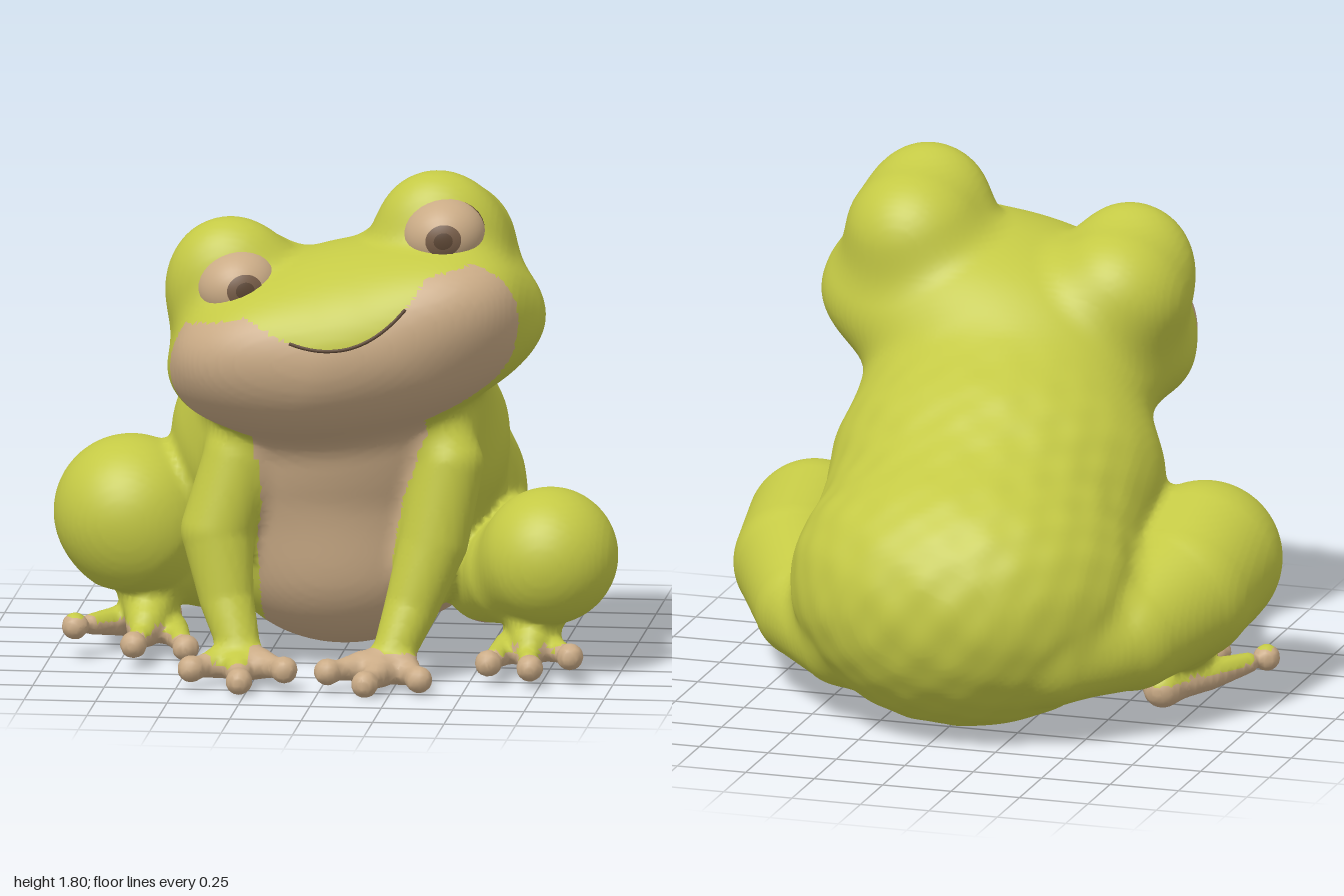
import * as THREE from 'three';

const V = (x, y, z) => new THREE.Vector3(x, y, z);
const flat = (name, color) => {
  const m = new THREE.MeshStandardMaterial({ color });
  m.name = name;
  return m;
};

export function createModel() {
  const green = flat('frog green', 0xc4c945);
  const tan = flat('belly tan', 0xcaab86);
  const iris = flat('iris brown', 0x775d48);
  const dark = flat('dark brown', 0x5c4634);
  const frog = new THREE.Group();
  frog.name = 'frog';

  // Tilted, slightly turned head frame
  const head = new THREE.Group();
  head.name = 'face';
  head.position.set(0.09, 1.24, 0.5);
  head.rotation.set(0, 0.08, 0.23);
  head.updateMatrix();
  const toHead = head.matrix.clone().invert();
  frog.add(head);

  // Soft volumes: centre, radii, blend width
  const bodyBlobs = [
    [[-0.03, 0.5, -0.39], [0.62, 0.49, 0.55], 0.1], // rump
    [[-0.01, 0.77, 0.02], [0.59, 0.48, 0.52], 0.16], // chest
    [[0.01, 0.42, 0.08], [0.44, 0.36, 0.4], 0.12], // belly
    [[0.05, 1.06, 0.27], [0.48, 0.38, 0.34], 0.16], // neck
  ];
  const headBlobs = [
    [[0, -0.01, 0], [0.66, 0.33, 0.445], 0.12], // skull
    [[0.06, -0.08, -0.04], [0.6, 0.27, 0.4], 0.06], // jaw
  ];
  for (const s of [-1, 1]) {
    headBlobs.push([[s * 0.37, 0.2, -0.12], [0.25, 0.24, 0.25], 0.09]); // eye mound
    headBlobs.push([[s * 0.37, 0.26, 0], [0.225, 0.235, 0.16], 0.06]); // lid
    headBlobs.push([[s * 0.33, 0.06, 0.17], [0.25, 0.16, 0.2], 0.12]); // cheek
  }

  // Limbs: blend width, then points [x, y, z, radius]
  const limbs = [
    [0.06, [-0.22, 0.98, 0.36, 0.1], [-0.32, 0.77, 0.44, 0.12], [-0.39, 0.52, 0.47, 0.125],
      [-0.35, 0.29, 0.52, 0.095], [-0.3, 0.14, 0.59, 0.075]], // right arm
    [0.06, [0.34, 1, 0.36, 0.1], [0.42, 0.77, 0.44, 0.12], [0.37, 0.5, 0.47, 0.12],
      [0.3, 0.28, 0.52, 0.095], [0.25, 0.14, 0.59, 0.075]], // left arm
    [0.06, [-0.42, 0.31, -0.58, 0.15], [-0.61, 0.37, -0.35, 0.21], [-0.72, 0.45, -0.08, 0.25],
      [-0.73, 0.51, 0.13, 0.27]], // right thigh
    [0.06, [0.4, 0.27, -0.5, 0.14], [0.6, 0.32, -0.25, 0.185], [0.73, 0.385, 0.05, 0.225],
      [0.76, 0.43, 0.33, 0.237]], // left thigh
    [0.04, [-0.7, 0.45, 0.13, 0.24], [-0.61, 0.35, 0.04, 0.17], [-0.5, 0.28, -0.15, 0.16]], // right calf
    [0.04, [0.74, 0.41, 0.33, 0.21], [0.62, 0.34, 0.2, 0.18], [0.5, 0.27, -0.05, 0.16]], // left calf
    [0.04, [-0.7, 0.28, -0.05, 0.13], [-0.67, 0.19, 0.1, 0.1], [-0.67, 0.13, 0.2, 0.07]], // right ankle
    [0.04, [0.69, 0.26, 0.12, 0.13], [0.7, 0.19, 0.28, 0.1], [0.7, 0.13, 0.38, 0.07]], // left ankle
  ];
  // Hands and feet fan out from a root to round toe pads
  const tips = [];
  const addToes = (root, ends) => {
    for (const t of ends) {
      const at = (f, r) => [...t.map((v, i) => root[i] + (v - root[i]) * f), r];
      limbs.push([0.035, [...root, 0.055], at(0.45, 0.055), at(0.82, 0.036)], [0.015, [...t, 0.047], [...t, 0.047]]);
      tips.push(V(...t));
    }
  };
  addToes([-0.3, 0.09, 0.58], [[-0.45, 0.075, 0.72], [-0.27, 0.055, 0.82], [-0.12, 0.085, 0.75]]);
  addToes([0.24, 0.09, 0.58], [[0.03, 0.08, 0.74], [0.17, 0.055, 0.82], [0.35, 0.06, 0.74]]);
  addToes([-0.65, 0.095, -0.1], [[-0.91, 0.125, 0.27], [-0.69, 0.09, 0.4], [-0.51, 0.08, 0.38]]);
  addToes([0.64, 0.09, 0.07], [[0.57, 0.085, 0.55], [0.72, 0.08, 0.59], [0.85, 0.105, 0.5]]);

  const ellipsoid = (p, [c, r]) => {
    const x = (p.x - c[0]) / r[0], y = (p.y - c[1]) / r[1], z = (p.z - c[2]) / r[2];
    const k = Math.sqrt(x * x + y * y + z * z);
    const g = Math.sqrt((x / r[0]) ** 2 + (y / r[1]) ** 2 + (z / r[2]) ** 2);
    return (k * (k - 1)) / (g + 1e-9);
  };
  const limbDistance = (p, limb) => {
    let d = 1e3;
    for (let i = 1; i < limb.length - 1; i++) {
      const a = limb[i], b = limb[i + 1];
      const ux = b[0] - a[0], uy = b[1] - a[1], uz = b[2] - a[2];
      const x = p.x - a[0], y = p.y - a[1], z = p.z - a[2];
      const dot = (x * ux + y * uy + z * uz) / (ux * ux + uy * uy + uz * uz + 1e-9);
      const t = Math.min(Math.max(dot, 0), 1);
      const dx = x - ux * t, dy = y - uy * t, dz = z - uz * t;
      d = Math.min(d, Math.sqrt(dx * dx + dy * dy + dz * dz) - a[3] - (b[3] - a[3]) * t);
    }
    return d;
  };
  const blend = (a, b, k) => {
    const h = Math.max(k - Math.abs(a - b), 0) / k;
    return Math.min(a, b) - h * h * k * 0.25;
  };
  const local = V(0, 0, 0);
  const field = (p) => {
    let d = 1e3;
    for (const b of bodyBlobs) d = blend(d, ellipsoid(p, b), b[2]);
    // Gentle warts on the back
    const fade = THREE.MathUtils.clamp(-p.z * 3 + 0.2, 0, 1);
    d -= 0.004 * fade * Math.sin(31 * p.x + 4 * p.z) * Math.sin(27 * p.y + 5 * p.x) * Math.sin(29 * p.z);
    local.copy(p).applyMatrix4(toHead);
    for (const b of headBlobs) d = blend(d, ellipsoid(local, b), b[2]);
    for (const l of limbs) d = blend(d, limbDistance(p, l), l[0]);
    return d;
  };

  // Pale jaw, throat, chest, belly, soles and toe pads
  const lipLine = (u) => Math.min(0.026 + 1.6 * u * u, 0.19);
  const isPale = (p, n) => {
    local.copy(p).applyMatrix4(toHead);
    const edge = 0.17 + 0.1 * local.x + 0.2 * local.y;
    if (p.y > 0.85 && local.z > edge && local.y < lipLine(local.x)) return true;
    if (p.y < 0.16 && tips.some((t) => t.distanceTo(p) < 0.08)) return true;
    if (p.y < 0.13 && n.y < 0.3 && p.z > -0.17 && (Math.abs(p.x) > 0.45 || p.z > 0.5)) return true;
    // Arms in front of the chest stay green
    if (limbDistance(p, limbs[0]) < 0.012 || limbDistance(p, limbs[1]) < 0.012) return false;
    const inside = Math.abs(p.x - 0.05) < 0.3;
    return inside && ((p.y < 1 && p.z > 0.3) || (p.y < 0.3 && p.z > -0.3 && n.y < -0.35));
  };

  // Wrap the soft volume in a net: one vertex per crossed cell, one quad per crossed edge
  const H = 0.019, size = [110, 102, 108], base = [-1.04, -0.04, -1.02];
  const stride = [1, size[0], size[0] * size[1]];
  const values = new Float32Array(size[0] * size[1] * size[2]);
  const p = V(0, 0, 0);
  const eachPoint = (margin, visit) => {
    for (let z = margin; z < size[2] - margin; z++)
      for (let y = margin; y < size[1] - margin; y++)
        for (let x = margin; x < size[0] - margin; x++) visit(x, y, z, x + y * stride[1] + z * stride[2]);
  };
  eachPoint(0, (x, y, z, g) => {
    values[g] = field(p.set(base[0] + x * H, base[1] + y * H, base[2] + z * H));
  });
  const cellVertex = new Map(), verts = [], faces = [[], []];
  const corner = (g, c) => g + (c & 1) + ((c >> 1) & 1) * stride[1] + ((c >> 2) & 1) * stride[2];
  const grad = V(0, 0, 0), q = V(0, 0, 0);
  eachPoint(1, (x, y, z, g) => {
    const sum = [0, 0, 0];
    let hits = 0;
    for (let c = 0; c < 8; c++) for (let axis = 0; axis < 3; axis++) {
      if (c & (1 << axis)) continue;
      const a = values[corner(g, c)], b = values[corner(g, c | (1 << axis))];
      if (a < 0 === b < 0) continue;
      for (let i = 0; i < 3; i++) sum[i] += i === axis ? a / (a - b) : (c >> i) & 1;
      hits++;
    }
    if (!hits) return;
    p.set(x + sum[0] / hits, y + sum[1] / hits, z + sum[2] / hits).multiplyScalar(H).add(q.set(...base));
    for (let step = 0; step < 2; step++) {
      const f = field(p);
      for (let i = 0; i < 3; i++) {
        q.copy(p).setComponent(i, p.getComponent(i) + 0.002);
        grad.setComponent(i, (field(q) - f) / 0.002);
      }
      const move = THREE.MathUtils.clamp(f / (grad.lengthSq() + 0.01), -H / 2, H / 2);
      p.addScaledVector(grad, -move);
    }
    cellVertex.set(g, verts.length);
    verts.push(p.clone());
  });
  const tri = new THREE.Triangle(), mid = V(0, 0, 0), normal = V(0, 0, 0);
  const addFace = (a, b, c) => {
    tri.set(verts[a], verts[b], verts[c]);
    faces[isPale(tri.getMidpoint(mid), tri.getNormal(normal)) ? 1 : 0].push(a, b, c);
  };
  eachPoint(2, (x, y, z, g) => {
    for (let axis = 0; axis < 3; axis++) {
      const inside = values[g] < 0;
      if (inside === values[g + stride[axis]] < 0) continue;
      const u = stride[(axis + 1) % 3], v = stride[(axis + 2) % 3];
      const quad = [g - u - v, g - v, g, g - u].map((c) => cellVertex.get(c));
      if (!inside) quad.reverse();
      addFace(quad[0], quad[1], quad[2]);
      addFace(quad[0], quad[2], quad[3]);
    }
  });
  const skin = new THREE.BufferGeometry().setFromPoints(verts);
  skin.setIndex(faces[0].concat(faces[1]));
  skin.addGroup(0, faces[0].length, 0);
  skin.addGroup(faces[0].length, faces[1].length, 1);
  skin.computeVertexNormals();
  const skinMesh = new THREE.Mesh(skin, [green, tan]);
  skinMesh.name = 'bodyHeadAndLegs';
  frog.add(skinMesh);

  // Eyes with rim, iris and pupil
  for (const s of [-1, 1]) {
    const eye = new THREE.Group();
    eye.name = s < 0 ? 'rightEye' : 'leftEye';
    eye.position.set(s * 0.37 + 0.025, s < 0 ? 0.265 : 0.285, 0.085);
    head.add(eye);
    const cap = (name, mat, r, angle, turn, z = 0) => {
      const geo = new THREE.SphereGeometry(r, 32, 20, 0, Math.PI * 2, 0, angle).rotateX(Math.PI / 2);
      const m = new THREE.Mesh(geo, mat);
      m.name = name;
      m.scale.y = 0.88;
      m.rotation.y = turn;
      m.position.z = z;
      eye.add(m);
    };
    const gaze = s < 0 ? 0.22 : 0.03;
    cap('eyeRim', dark, 0.151, Math.PI, 0, -0.014);
    cap('eyeWhite', tan, 0.148, Math.PI, 0);
    cap('iris', iris, 0.151, 0.43, gaze);
    cap('pupil', dark, 0.153, 0.22, gaze);
  }

  // Smile laid on the face
  const smile = [];
  const forward = V(0, 0, 1).transformDirection(head.matrix);
  for (let i = 0; i <= 16; i++) {
    const u = -0.19 + (0.42 * i) / 16;
    const point = V(u, lipLine(u), 0.1).applyMatrix4(head.matrix);
    while (field(point) < 0) point.addScaledVector(forward, 0.002);
    smile.push(point);
  }
  const mouth = new THREE.Mesh(
    new THREE.TubeGeometry(new THREE.CatmullRomCurve3(smile), 48, 0.006, 8), dark);
  mouth.name = 'mouth';
  frog.add(mouth);
  return frog;
}
